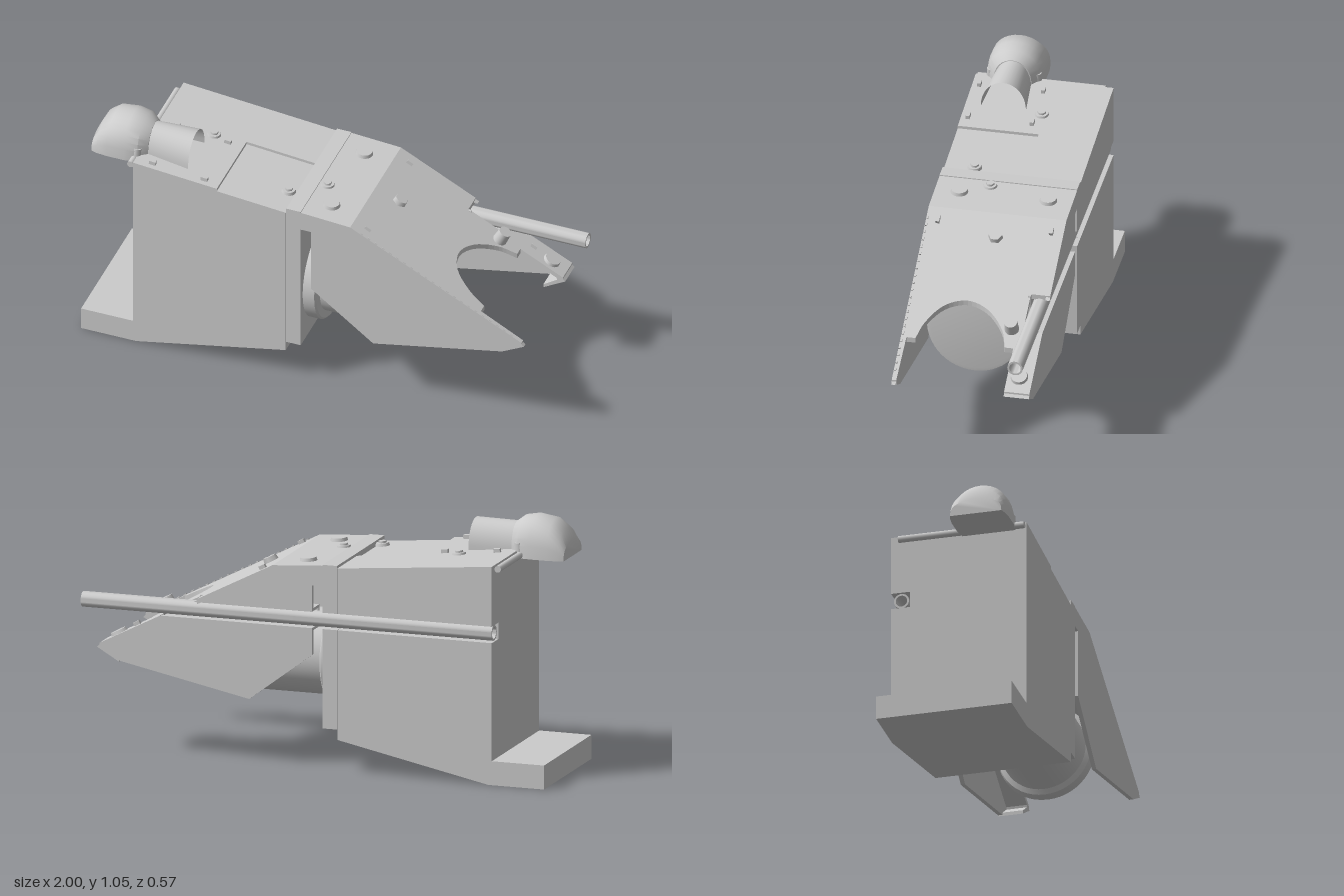
import * as THREE from 'three';
import { toCreasedNormals } from 'three/addons/utils/BufferGeometryUtils.js';

const W = 0.285; // half width of the housing
const mat = new THREE.MeshStandardMaterial({ color: 0xcccccc });
const thin = new THREE.MeshStandardMaterial({ color: 0xcccccc, side: THREE.DoubleSide });

// Height of the upper surface along x
const bodyTop = x => 0.85 - (x + 0.11) * 0.09;
const hoodTop = x => (x < 0.17 ? 0.856 - (x + 0.045) * 0.07 : 0.841 - (x - 0.17) * 0.515);
const surface = x => (x < -0.11 ? bodyTop(x) : hoodTop(x));
const slope = x => (x < -0.11 ? -0.09 : x < 0.17 ? -0.07 : -0.515);

const toShape = pts => new THREE.Shape(pts.map(p => new THREE.Vector2(p[0], p[1])));

export function createModel() {
  const model = new THREE.Group();
  const add = (name, geometry, material = mat) => {
    const mesh = new THREE.Mesh(geometry, material);
    mesh.name = name;
    model.add(mesh);
    return mesh;
  };
  // Side profile in x,y pulled from z0 to z1
  const slab = (name, pts, z0, z1) => {
    const g = new THREE.ExtrudeGeometry(toShape(pts), { depth: z1 - z0, bevelEnabled: false });
    return add(name, g.translate(0, 0, z0));
  };
  const box = (name, x0, x1, y0, y1, z0, z1) =>
    add(name, new THREE.BoxGeometry(x1 - x0, y1 - y0, z1 - z0)
      .translate((x0 + x1) / 2, (y0 + y1) / 2, (z0 + z1) / 2));
  // Top plan in x,z bent down onto the hood slope
  const panel = (name, pts, t) => {
    const g = new THREE.ExtrudeGeometry(toShape(pts.map(([x, z]) => [x, -z])), { depth: t, bevelEnabled: false });
    g.rotateX(-Math.PI / 2);
    const p = g.attributes.position;
    for (let i = 0; i < p.count; i++) p.setY(i, p.getY(i) - t + hoodTop(p.getX(i)));
    g.computeVertexNormals();
    return add(name, g);
  };
  // Arched cross-sections [x, baseY, halfWidth, topY] joined along x
  const loftArch = (sections, cz, closed, power) => {
    const n = 16, pos = [], idx = [];
    for (const [x, base, w, top] of sections)
      for (let j = 0; j <= n; j++) {
        const a = (j / n) * Math.PI, c = Math.cos(a);
        pos.push(x, base + (top - base) * Math.pow(Math.max(0, Math.sin(a)), power), cz + w * c);
      }
    const m = n + 1, last = (sections.length - 1) * m;
    for (let i = 0; i < sections.length - 1; i++)
      for (let j = 0; j < (closed ? m : n); j++) {
        const a = i * m + j, b = i * m + ((j + 1) % m);
        idx.push(a, a + m, b, b, a + m, b + m);
      }
    if (closed)
      for (let j = 1; j < n; j++) idx.push(0, j, j + 1, last, last + j + 1, last + j);
    const g = new THREE.BufferGeometry();
    g.setAttribute('position', new THREE.Float32BufferAttribute(pos, 3));
    g.setIndex(idx);
    return toCreasedNormals(g, 0.6);
  };

  // Main housing: slices across z, with a recess on top and a groove for the rod
  const foot = [[-1, 0.1], [-1, 0], [-0.76, 0], [-0.11, 0.135]];
  const back = [-0.775, bodyTop(-0.775)], knee = [-0.775, 0.1];
  slab('housingRecessedSide', [...foot, [-0.11, 0.838], [-0.41, 0.865], [-0.41, bodyTop(-0.41)], back, knee], -0.05, W);
  slab('housingMiddle', [...foot, [-0.11, 0.85], back, knee], -0.205, -0.05);
  slab('housingBelowGroove', [...foot, [-0.11, 0.592], [-0.775, 0.592], knee], -W, -0.205);
  slab('housingAboveGroove', [[-0.775, 0.66], [-0.11, 0.66], [-0.11, 0.85], back], -W, -0.205);

  // Front plate with the same groove
  box('frontPlate', -0.108, -0.045, 0.178, 0.86, -0.205, W);
  box('frontPlateLower', -0.108, -0.045, 0.178, 0.592, -W, -0.205);
  box('frontPlateUpper', -0.108, -0.045, 0.66, 0.86, -W, -0.205);

  // Barrel with base flange and rolled lip
  const barrel = [[0, -0.05], [0.216, -0.05], [0.216, 0.005], [0.208, 0.012], [0.176, 0.014], [0.176, 0.335],
    [0.196, 0.345], [0.201, 0.36], [0.201, 0.385], [0.194, 0.4], [0.18, 0.402], [0, 0.402]];
  const bg = toCreasedNormals(new THREE.LatheGeometry(barrel.map(p => new THREE.Vector2(...p)), 48), 0.5);
  add('barrel', bg.rotateZ(-Math.PI / 2).translate(0, 0.42, 0.047));

  // Hood top: flat panel, then a sloping one with the barrel cutout and rod slot
  panel('hoodFlatTop', [[-0.045, -W], [0.17, -W], [0.17, W], [-0.045, W]], 0.022);
  const cutout = new THREE.CatmullRomCurve3([[0.73, 0.225], [0.66, 0.2], [0.58, 0.135], [0.55, 0.045],
    [0.58, -0.045], [0.66, -0.12], [0.73, -0.145]].map(([x, z]) => new THREE.Vector3(x, 0, z)))
    .getPoints(30).map(p => [p.x, p.z]);
  panel('hoodSlope', [[0.17, -W], [0.17, W], [0.915, W], [0.915, 0.266], [0.73, 0.262], ...cutout,
    [0.73, -0.18], [0.915, -0.18], [0.915, -W], [0.655, -W], [0.655, -0.205], [0.495, -0.205], [0.495, -W]], 0.022);

  // Hood sides; the rear one is split by the rod channel
  const tip = [[0.9, 0.465], [0.925, 0.44], [0.83, 0.39], [0.27, 0.275], [0, 0.48]];
  slab('hoodSideFront', [[-0.045, 0.77], [-0.045, 0.852], [0.17, 0.84], ...tip, [0, 0.77]], W - 0.018, W);
  slab('hoodSideBackUpper', [[-0.045, 0.77], [0, 0.77], [0, 0.66], [0.51, 0.66], [0.17, 0.84], [-0.045, 0.852]], -W, -W + 0.018);
  slab('hoodSideBackLower', [[0, 0.592], [0.65, 0.592], ...tip], -W, -W + 0.018);
  slab('hoodTip', [[0.88, 0.475], [0.9, 0.465], [0.925, 0.44], [0.83, 0.385], [0.83, 0.4], [0.89, 0.44]], -W, -0.18);
  box('channelWall', 0, 0.51, 0.58, 0.672, -0.207, -0.195);
  box('channelCeiling', 0, 0.48, 0.66, 0.672, -W, -0.2);
  box('channelFloor', 0, 0.64, 0.58, 0.592, -W, -0.2);

  // Hollow rod along the groove
  const rod = [[0.024, -0.77], [0.032, -0.77], [0.032, 1], [0.024, 1], [0.024, -0.77]];
  const rg = toCreasedNormals(new THREE.LatheGeometry(rod.map(p => new THREE.Vector2(...p)), 24), 0.6);
  add('rod', rg.rotateZ(-Math.PI / 2).translate(0, 0.625, -0.243), thin);

  // Sight cover with lens and open tunnel
  add('sightCover', loftArch([[-0.975, 0.88, 0.108, 0.945], [-0.95, 0.88, 0.115, 0.995], [-0.905, 0.88, 0.12, 1.034],
    [-0.83, 0.88, 0.12, 1.046], [-0.775, 0.88, 0.112, 1.036], [-0.74, 0.88, 0.08, 1.01]], 0.127, true, 0.7));
  add('sightTunnel', loftArch([[-0.75, 0.88, 0.078, 1.008], [-0.56, 0.88, 0.094, 1.01]], 0.127, false, 0.85), thin);
  add('sightLens', new THREE.CylinderGeometry(0.046, 0.046, 0.02, 28).rotateZ(Math.PI / 2).translate(-0.735, 0.957, 0.127));

  // Hinge pin along the rear top edge
  add('hingePin', new THREE.CylinderGeometry(0.014, 0.014, 0.53, 14).rotateX(Math.PI / 2).translate(-0.788, 0.893, 0.015));

  // Bolts and clips seated on the upper surface
  const seat = (mesh, x, z, lift) => {
    mesh.position.set(x, surface(x) + lift, z);
    mesh.rotation.z = Math.atan(slope(x));
  };
  const bolt = (name, x, z, r, h, sides) =>
    seat(add(name, new THREE.CylinderGeometry(r * 0.88, r, h, sides)), x, z, h / 2 - 0.004);
  for (const [x, z] of [[-0.545, -0.035], [-0.145, 0.16], [-0.012, 0.068]]) {
    bolt('boltWasher', x, z, 0.03, 0.012, 20);
    bolt('boltHead', x, z, 0.019, 0.02, 6);
  }
  bolt('hoodHexBolt', 0.275, -0.013, 0.032, 0.026, 6);
  for (const [x, z] of [[0.05, -0.185], [0.05, 0.183], [0.85, -0.23]]) bolt('hoodDisc', x, z, 0.037, 0.018, 24);
  bolt('hoodStud', 0.66, -0.158, 0.03, 0.06, 20);
  for (const z of [0.032, 0.222]) bolt('sightBolt', -0.78, z, 0.02, 0.035, 12);
  for (const [x, z] of [[0.23, -0.235], [0.23, 0.235], [0.77, -0.235], [-0.7, -0.01], [-0.7, 0.255],
    [-0.475, -0.01], [-0.475, 0.255]])
    seat(add('clip', new THREE.BoxGeometry(0.028, 0.018, 0.016)), x, z, 0.007);
  // Rivets along the front edge of the hood
  for (let i = 0; i < 22; i++) {
    const x = 0.22 + i * 0.031;
    seat(add('edgeRivet', new THREE.BoxGeometry(0.012, 0.006, 0.008)), x, W - 0.006, 0.002);
  }
  return model;
}
